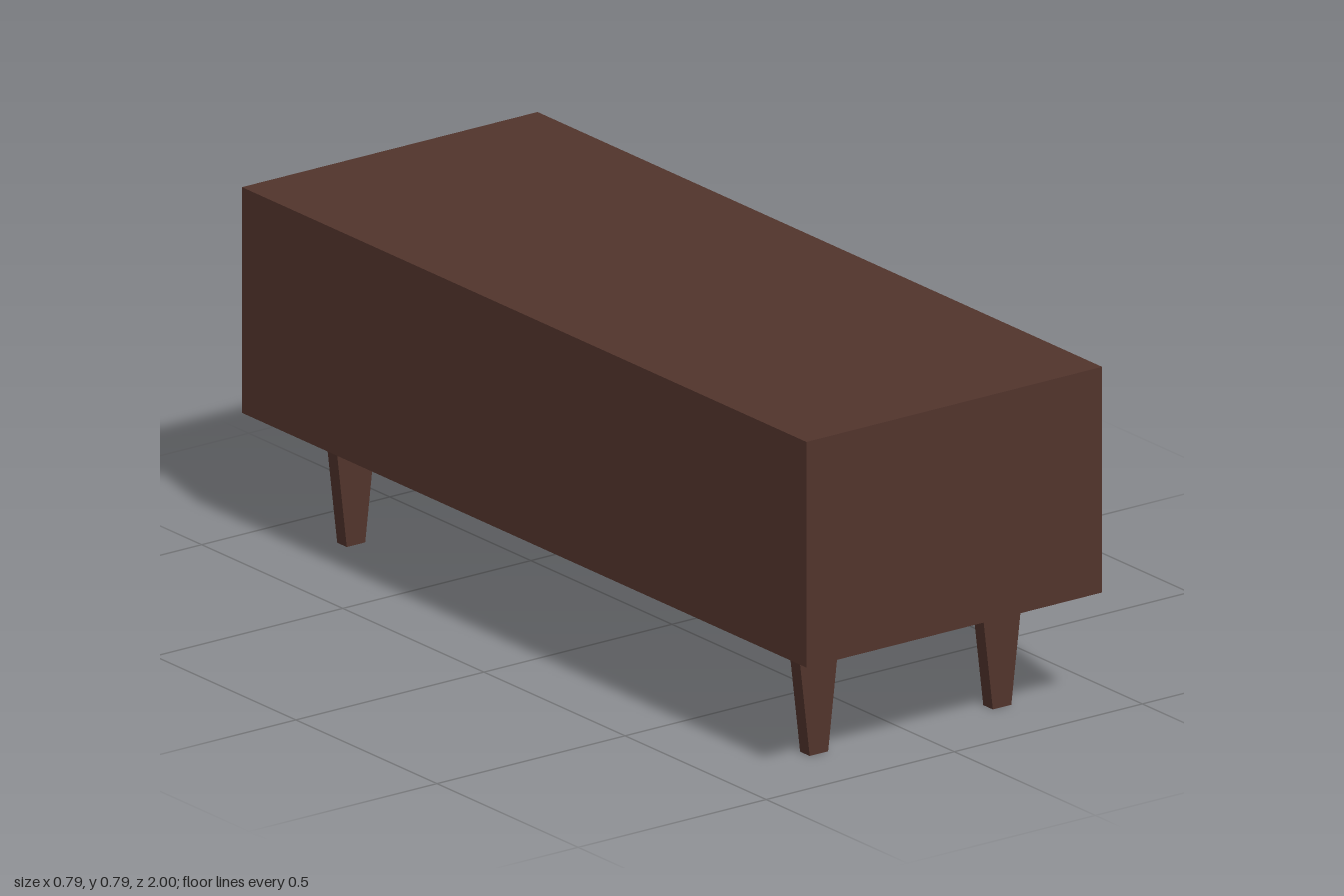
import * as THREE from 'three';

export function createModel() {
  const group = new THREE.Group();
  const wood = new THREE.MeshStandardMaterial({ color: 0x52342c });
  wood.name = 'dark walnut';

  // Box given by its minimum and maximum corners
  const box = (name, [x0, y0, z0], [x1, y1, z1]) => {
    const mesh = new THREE.Mesh(new THREE.BoxGeometry(x1 - x0, y1 - y0, z1 - z0), wood);
    mesh.position.set((x0 + x1) / 2, (y0 + y1) / 2, (z0 + z1) / 2);
    mesh.name = name;
    group.add(mesh);
  };

  // Cabinet shell, open towards +x
  const X = 0.393, Y0 = 0.275, Y1 = 0.785, T = 0.02;
  box('topPanel', [-X, Y1 - T, -1], [X, Y1, 1]);
  box('bottomPanel', [-X, Y0, -1], [X, Y0 + T, 1]);
  box('backPanel', [-X, Y0 + T, -1 + T], [-X + T, Y1 - T, 1 - T]);
  box('leftEndPanel', [-X, Y0 + T, 1 - T], [X, Y1 - T, 1]);
  box('rightEndPanel', [-X, Y0 + T, -1], [X, Y1 - T, -1 + T]);

  // Sliding doors: two on the outer track, one behind them
  const door = (name, front, z0, z1) =>
    box(name, [front - 0.033, Y0 + T, z0], [front, Y1 - T, z1]);
  door('outerDoorLeft', X - 0.035, 0.5, 1 - T);
  door('outerDoorRight', X - 0.035, -1 + T, -0.24);
  door('innerDoor', X - 0.069, -0.27, 0.53);

  // Leg frames: tapered legs joined by a rail, cut from one board
  const outline = [
    [-0.262, 0], [-0.213, 0], [-0.187, 0.222], [0.198, 0.222],
    [0.225, 0], [0.274, 0], [0.307, Y0], [-0.295, Y0],
  ].map(([x, y]) => new THREE.Vector2(x, y));
  const depth = 0.034;
  const frame = new THREE.ExtrudeGeometry(new THREE.Shape(outline), { depth, bevelEnabled: false });
  for (const [name, z] of [['frontLegFrame', 0.82], ['backLegFrame', -0.82]]) {
    const mesh = new THREE.Mesh(frame, wood);
    mesh.position.z = z - depth / 2;
    mesh.name = name;
    group.add(mesh);
  }
  return group;
}
